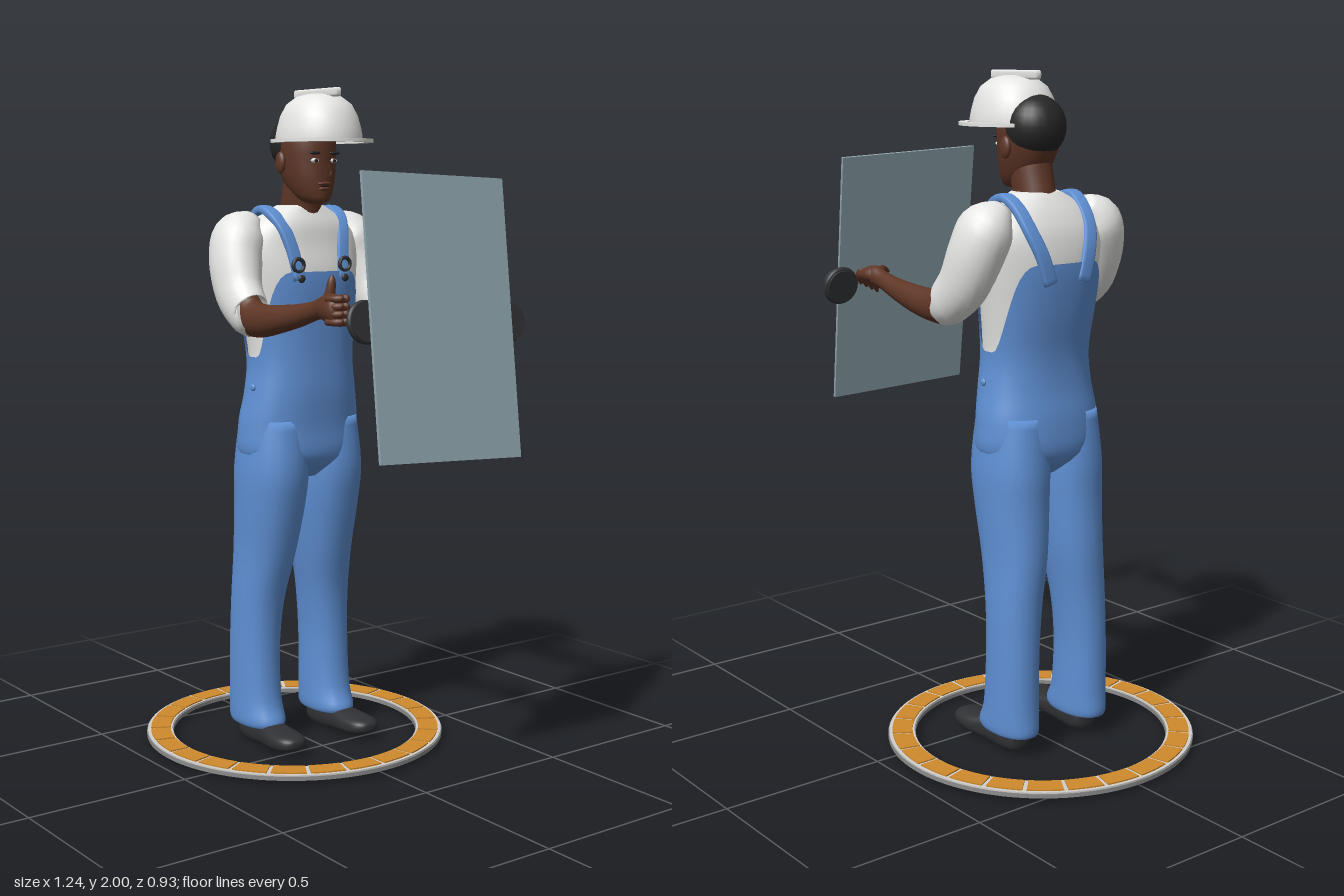
import * as THREE from 'three';

const mat = (name, color, side = THREE.FrontSide) => {
  const m = new THREE.MeshStandardMaterial({ color, side });
  m.name = name;
  return m;
};
const V = (x, y, z) => new THREE.Vector3(x, y, z);

// Catmull-Rom smoothing of rows of numbers
function smooth(rows, k) {
  const out = [];
  for (let i = 0; i < rows.length - 1; i++) {
    const [a, b, c, d] = [rows[Math.max(i - 1, 0)], rows[i], rows[i + 1], rows[Math.min(i + 2, rows.length - 1)]];
    for (let s = 0; s < k; s++) {
      const t = s / k;
      out.push(b.map((p, n) => p + 0.5 * t * (c[n] - a[n] + t * (2 * a[n] - 5 * p + 4 * c[n] - d[n] + t * (3 * (p - c[n]) + d[n] - a[n])))));
    }
  }
  out.push(rows[rows.length - 1]);
  return out;
}

const superPoint = (a, n) => [Math.cos(a), Math.sin(a)].map(q => Math.sign(q) * Math.abs(q) ** (2 / n));

function meshData(pos, idx) {
  const g = new THREE.BufferGeometry();
  g.setAttribute('position', new THREE.Float32BufferAttribute(pos, 3));
  g.setIndex(idx);
  g.computeVertexNormals();
  return g;
}

// Skin of oval rings [x, y, z, radius along z, other radius]; axis fixes the ring plane
function loft(rows, { axis = null, seg = 24, n = 2, k = 4 } = {}) {
  const r = smooth(rows, k), pos = [], idx = [], last = r.length - 1;
  r.forEach((p, i) => {
    const a = r[Math.max(i - 1, 0)], b = r[Math.min(i + 1, last)];
    const t = axis ? axis.clone() : V(b[0] - a[0], b[1] - a[1], b[2] - a[2]).normalize();
    const v = t.clone().cross(V(0, 0, 1)).normalize(), u = v.clone().cross(t);
    for (let j = 0; j < seg; j++) {
      const [c, s] = superPoint(j / seg * Math.PI * 2, n);
      pos.push(...V(p[0], p[1], p[2]).addScaledVector(u, c * p[3]).addScaledVector(v, s * p[4]).toArray());
    }
  });
  for (let i = 0; i < last; i++) for (let j = 0; j < seg; j++) {
    const a = i * seg + j, b = i * seg + (j + 1) % seg;
    idx.push(a, b, a + seg, b, b + seg, a + seg);
  }
  const c0 = pos.length / 3;
  pos.push(...r[0].slice(0, 3), ...r[last].slice(0, 3));
  for (let j = 0; j < seg; j++) {
    const q = (j + 1) % seg;
    idx.push(c0, q, j, c0 + 1, last * seg + j, last * seg + q);
  }
  return meshData(pos, idx);
}

// Trunk rings: x, y, z, half width, half depth
const TRUNK = [[-.125, .84, 0, .06, .06], [-.127, .9, 0, .18, .118], [-.127, 1, 0, .19, .12], [-.117, 1.1, 0, .175, .115],
  [-.117, 1.2, 0, .165, .113], [-.127, 1.33, 0, .178, .122], [-.131, 1.45, 0, .195, .128], [-.134, 1.54, 0, .205, .113],
  [-.126, 1.6, 0, .17, .095], [-.12, 1.64, 0, .11, .073], [-.115, 1.66, 0, .07, .06]];

// Overall body: wraps the trunk, with a top edge that rises to a bib in front and behind
function overallGeometry() {
  const rows = smooth(TRUNK, 6), seg = 64, n = 30, pos = [], idx = [];
  for (let i = 0; i <= n; i++) for (let j = 0; j < seg; j++) {
    const a = j / seg * Math.PI * 2, [c, s] = superPoint(a, 2.3);
    const top = 1.21 + .255 * THREE.MathUtils.smoothstep(Math.abs(Math.cos(a)), .12, .9);
    const y = THREE.MathUtils.lerp(.84, top, i / n);
    const q = Math.max(1, rows.findIndex(w => w[1] >= y)), lo = rows[q - 1], hi = rows[q];
    const t = (y - lo[1]) / (hi[1] - lo[1]), f = w => lo[w] + (hi[w] - lo[w]) * t;
    pos.push(f(0) + c * (f(4) + .007), y, s * (f(3) + .007));
    if (i < n) {
      const b = i * seg + j, d = i * seg + (j + 1) % seg;
      idx.push(b, b + seg, d, d, b + seg, d + seg);
    }
  }
  return meshData(pos, idx);
}

// Flat ring or ring sector lying on the ground
function ringPart(r0, r1, h, a0, a1) {
  const s = new THREE.Shape();
  if (a1 === undefined) {
    s.absarc(0, 0, r1, 0, Math.PI * 2);
    s.holes.push(new THREE.Path().absarc(0, 0, r0, 0, Math.PI * 2, true));
  } else {
    s.absarc(0, 0, r1, a0, a1, false);
    s.absarc(0, 0, r0, a1, a0, true);
  }
  return new THREE.ExtrudeGeometry(s, { depth: h, bevelEnabled: false, curveSegments: a1 === undefined ? 48 : 6 }).rotateX(-Math.PI / 2);
}

export function createModel() {
  const root = new THREE.Group();
  const skin = mat('skin brown', 0x5e3626), white = mat('white', 0xe6e6e4, THREE.DoubleSide);
  const denim = mat('denim blue', 0x5f90d4, THREE.DoubleSide), hair = mat('hair black', 0x262626);
  const leather = mat('shoe charcoal', 0x303134), board = mat('panel grey blue', 0x8fa5ad);
  const orange = mat('orange', 0xd08a2c), grey = mat('base grey', 0x8c8c8c), pale = mat('pale grey', 0xd2d0cc);
  const dark = mat('dark brown', 0x2a1610);
  const add = (name, geo, m, parent = root) => {
    const o = new THREE.Mesh(geo, m);
    o.name = name;
    parent.add(o);
    return o;
  };
  const ball = (name, m, p, s, parent = root) => {
    const o = add(name, new THREE.SphereGeometry(1, 24, 16), m, parent);
    o.position.set(...p);
    o.scale.set(...s);
    return o;
  };
  const up = V(0, 1, 0), ahead = V(1, 0, 0);

  // Floor ring with 24 tiles
  const ring = new THREE.Group();
  ring.name = 'floorRing';
  ring.position.set(-.15, .013, 0);
  root.add(ring);
  add('ringBase', ringPart(.382, .465, .012), grey, ring);
  add('ringTop', ringPart(.385, .462, .004), pale, ring).position.y = .012;
  for (let i = 0; i < 24; i++) {
    const a = i * Math.PI / 12;
    add('ringTile', ringPart(.391, .452, .005, a + .014, a + Math.PI / 12 - .014), orange, ring).position.y = .015;
  }

  // Clothed trunk
  add('shirt', loft(TRUNK.slice(3), { axis: up, seg: 40, n: 2.3 }), white);
  add('overallBody', overallGeometry(), denim);

  for (const s of [1, -1]) {
    const side = rows => rows.map(([x, y, z, a, b]) => [x, y, z * s, a, b]);
    // Trouser leg and shoe
    add('trouserLeg', loft(side([[-.127, 1.02, .095, .09, .115], [-.128, .87, .1, .1, .13], [-.137, .75, .102, .096, .122],
      [-.157, .6, .108, .085, .108], [-.173, .45, .123, .075, .09], [-.178, .3, .131, .069, .088],
      [-.174, .15, .132, .069, .095], [-.163, .085, .132, .069, .11], [-.163, .065, .132, .064, .106]]), { axis: up, n: 2.2 }), denim);
    add('shoe', loft(side([[-.225, .045, .13, .01, .015], [-.215, .045, .13, .037, .036], [-.17, .045, .13, .045, .045],
      [-.09, .044, .133, .043, .04], [-.02, .043, .137, .053, .032], [.035, .045, .138, .047, .026],
      [.06, .046, .138, .028, .016], [.066, .046, .138, .008, .006]]), { axis: ahead, n: 2.5 }), leather);
    ball('sideButton', denim, [-.105, 1.12, .181 * s], [.011, .011, .006]);

    // Shoulder strap and buckle
    add('strap', loft(side([[-.004, 1.44, .08, .02, .009], [-.022, 1.52, .09, .02, .01], [-.046, 1.585, .105, .021, .012],
      [-.085, 1.632, .12, .022, .012], [-.135, 1.648, .122, .022, .012], [-.185, 1.618, .117, .022, .012],
      [-.228, 1.56, .108, .022, .012], [-.254, 1.49, .085, .022, .011], [-.262, 1.41, .06, .022, .009]]), { seg: 16, n: 4 }), denim);
    const buckle = add('buckle', new THREE.TorusGeometry(.019, .006, 8, 16), leather);
    buckle.position.set(-.003, 1.485, .085 * s);
    buckle.rotation.set(0, Math.PI / 2, 0);
    ball('bibButton', leather, [.006, 1.445, .08 * s], [.006, .012, .012]);

    // Sleeve and bare arm
    add('sleeve', loft(side([[-.15, 1.62, .15, .03, .04], [-.147, 1.575, .195, .075, .085], [-.13, 1.5, .222, .077, .088],
      [-.09, 1.41, .238, .066, .082], [-.03, 1.352, .245, .058, .07], [-.018, 1.347, .245, .052, .062]])), white);
    add('forearm', loft(side([[-.06, 1.375, .243, .042, .055], [-.015, 1.34, .244, .043, .055], [.05, 1.333, .247, .04, .048],
      [.13, 1.342, .25, .037, .041], [.22, 1.357, .247, .031, .033], [.3, 1.376, .246, .024, .027],
      [.345, 1.388, .247, .025, .03], [.36, 1.39, .247, .015, .02]])), skin);

    // Head sides
    ball('ear', skin, [-.09, 1.785, .088 * s], [.021, .032, .012]);
    ball('eyeWhite', white, [.007, 1.79, .033 * s], [.008, .007, .014]);
    ball('pupil', dark, [.013, 1.79, .033 * s], [.004, .006, .006]);
    ball('eyebrow', hair, [.011, 1.812, .035 * s], [.008, .005, .02]);
  }

  // Left hand: closed fist with a raised thumb
  const finger = (name, rows) => add(name, loft(rows, { seg: 12 }), skin);
  add('leftPalm', loft([[.325, 1.385, .247, .02, .024], [.36, 1.388, .25, .029, .038], [.4, 1.385, .252, .031, .042],
    [.42, 1.382, .252, .024, .034], [.428, 1.381, .252, .008, .012]], { axis: ahead, seg: 20 }), skin);
  finger('leftThumb', [[.35, 1.395, .243, .015, .02], [.362, 1.43, .24, .014, .015], [.366, 1.46, .238, .011, .011], [.367, 1.475, .237, .004, .004]]);
  for (let i = 0; i < 4; i++) {
    const y = 1.415 - i * .021;
    finger('leftFinger', [[.39, y, .272, .01, .01], [.425, y, .262, .012, .011], [.43, y, .24, .012, .011], [.4, y, .222, .011, .011], [.375, y, .224, .005, .006]]);
  }

  // Right hand: open, fingers reaching for the panel
  add('rightPalm', loft([[.325, 1.385, -.247, .022, .024], [.36, 1.39, -.243, .036, .026], [.4, 1.385, -.233, .04, .022],
    [.43, 1.38, -.225, .034, .017], [.438, 1.379, -.223, .015, .008]], { axis: ahead, seg: 20 }), skin);
  for (let i = 0; i < 4; i++) {
    const z = -.25 + i * .02, y = 1.39 - i * .01;
    finger('rightFinger', [[.41, y, z, .012, .012], [.445, y - .006, z + .012, .011, .011], [.468, y - .025, z + .025, .01, .01], [.476, y - .045, z + .036, .004, .004]]);
  }
  finger('rightThumb', [[.35, 1.39, -.225, .016, .016], [.4, 1.393, -.19, .013, .014], [.438, 1.39, -.155, .011, .011], [.463, 1.378, -.12, .004, .005]]);

  // Neck, head and face
  add('neck', loft([[-.115, 1.59, 0, .072, .07], [-.112, 1.65, 0, .06, .068], [-.1, 1.7, 0, .06, .068], [-.09, 1.76, 0, .06, .065]], { axis: up }), skin);
  add('head', loft([[-.035, 1.664, 0, .015, .02], [-.04, 1.672, 0, .038, .048], [-.055, 1.695, 0, .057, .069], [-.07, 1.735, 0, .073, .086],
    [-.082, 1.785, 0, .083, .097], [-.087, 1.84, 0, .086, .102], [-.087, 1.89, 0, .076, .09], [-.087, 1.93, 0, .03, .035]], { axis: up, seg: 32 }), skin);
  ball('hair', hair, [-.115, 1.842, 0], [.089, .092, .091]);
  add('nose', loft([[.005, 1.8, 0, .008, .008], [.016, 1.775, 0, .011, .012], [.018, 1.755, 0, .018, .015], [.01, 1.742, 0, .01, .008]], { axis: up, seg: 16 }), skin);
  ball('upperLip', skin, [.009, 1.723, 0], [.013, .007, .025]);
  ball('lowerLip', skin, [.006, 1.708, 0], [.013, .008, .022]);
  ball('mouthLine', dark, [.0145, 1.7155, 0], [.004, .002, .02]);

  // Hard hat: domed shell, brim and ridge
  const dome = add('hatDome', new THREE.LatheGeometry([[1, 1.845], [1, 1.86], [.965, 1.885], [.89, 1.92], [.75, 1.953],
    [.52, 1.975], [.27, 1.983], [0, 1.986]].map(p => new THREE.Vector2(...p)), 40), white);
  dome.scale.set(.14, 1, .122);
  dome.position.x = -.018;
  const brim = add('hatBrim', ringPart(.83, 1, .01), white);
  brim.scale.set(.162, 1, .146);
  brim.position.set(-.003, 1.842, 0);
  add('hatRidge', loft([[-.131, 1.984, 0, .008, .008], [-.127, 1.986, 0, .012, .013], [.075, 1.986, 0, .012, .013], [.079, 1.984, 0, .008, .008]],
    { axis: ahead, n: 4, k: 1 }), white);

  // Tilted panel with a round grip at each side
  const panel = new THREE.Group();
  panel.name = 'panel';
  const across = V(-.023, .02, .48).normalize(), rise = V(-.138, .77, -.05).normalize();
  const back = across.clone().cross(rise).normalize();
  rise.crossVectors(back, across);
  panel.quaternion.setFromRotationMatrix(new THREE.Matrix4().makeBasis(across, rise, back));
  panel.position.set(.536, 1.36, -.012);
  root.add(panel);
  add('panelSheet', new THREE.BoxGeometry(.482, .784, .01), board, panel);
  for (const s of [1, -1]) {
    const grip = add('grip', new THREE.CylinderGeometry(.05, .055, .028, 28).rotateX(Math.PI / 2), leather, panel);
    grip.position.set(s * .243, -.01, .02);
    const rim = add('gripRim', new THREE.TorusGeometry(.05, .01, 10, 28), leather, panel);
    rim.position.set(s * .243, -.01, .02);
  }
  return root;
}
